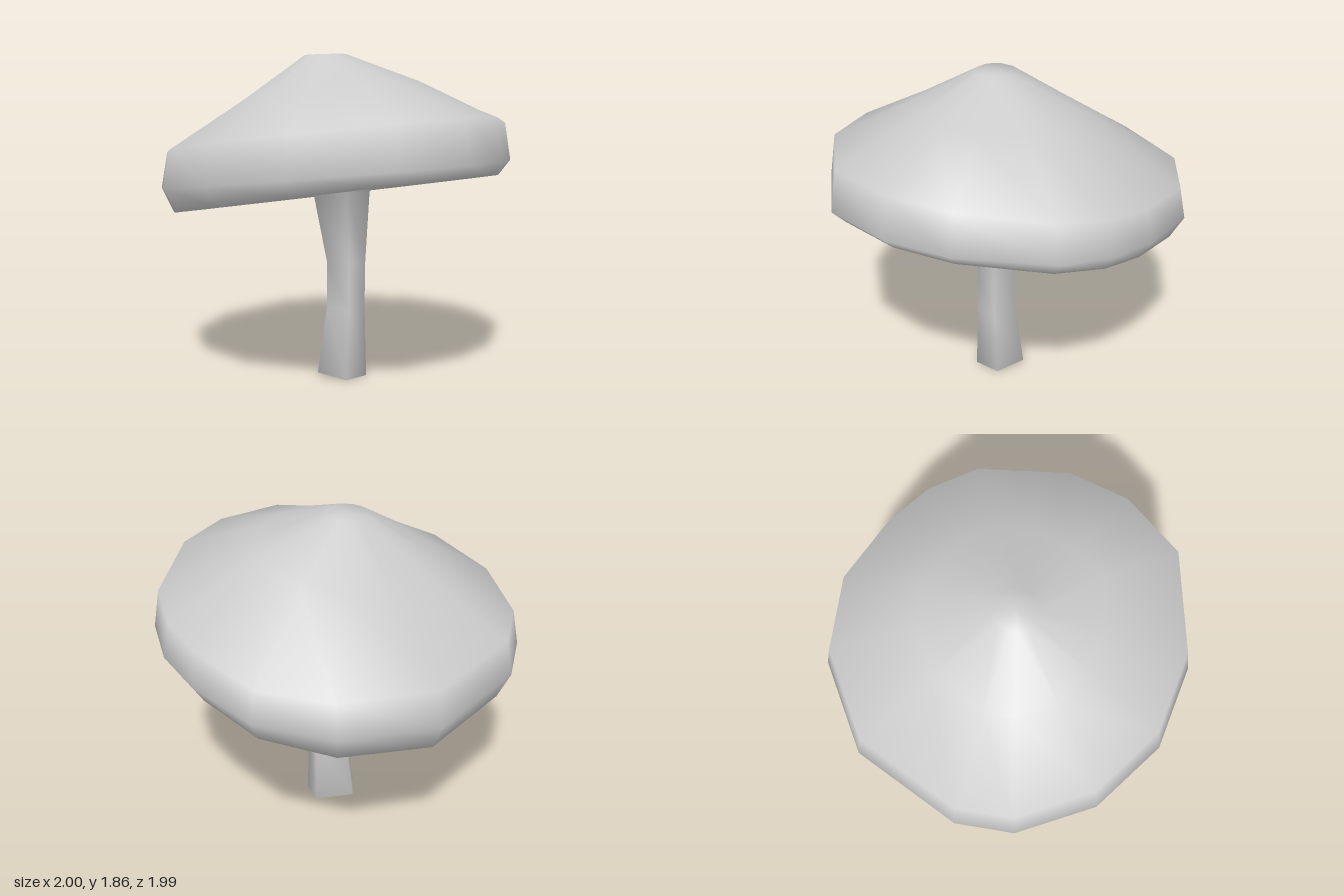
import * as THREE from 'three';

const material = new THREE.MeshStandardMaterial({ color: 0xcccccc });

// Skin a stack of rings (listed from top to bottom) and close both ends.
function loft(name, rings) {
  const n = rings[0].length;
  const centre = (ring) => ring.reduce((s, p) => s.add(p), new THREE.Vector3()).divideScalar(n);
  const points = [...rings.flat(), centre(rings[0]), centre(rings[rings.length - 1])];
  const index = [];
  const last = (rings.length - 1) * n;
  for (let i = 0; i < n; i++) {
    const j = (i + 1) % n;
    for (let r = 0; r < last; r += n) {
      index.push(r + i, r + j, r + n + i, r + j, r + n + j, r + n + i);
    }
    index.push(points.length - 2, j, i, points.length - 1, last + i, last + j);
  }
  const geometry = new THREE.BufferGeometry().setFromPoints(points);
  geometry.setIndex(index);
  geometry.computeVertexNormals();
  const mesh = new THREE.Mesh(geometry, material);
  mesh.name = name;
  return mesh;
}

// Irregular cap outline seen from above: x, z
const outline = [
  [1, 0], [0.935, 0.42], [0.52, 0.83], [0.08, 0.99], [-0.38, 0.94], [-0.77, 0.7], [-0.94, 0.42],
  [-1, -0.24], [-0.74, -0.73], [-0.37, -0.97], [0.05, -1], [0.34, -0.95], [0.61, -0.8], [0.915, -0.36],
];

// Cap rings: outline scale, height, sideways slope, centre x, centre z, lift at the back
const capRings = [
  [0.115, 1.86, 0.04, -0.035, 0.065, 0],
  [0.5, 1.645, 0.13, -0.02, 0.03, 0.12],
  [0.965, 1.4, 0.145, 0, 0, -0.08],
  [1, 1.18, 0.12, 0, 0, 0],
  [0.93, 1.065, 0.175, 0, 0, 0],
  [0.82, 1.075, 0.165, 0, 0, 0], // inner lip
  [0.72, 1.19, 0.14, 0, 0, 0], // hollow underside
  [0.45, 1.25, 0.12, 0, 0, 0],
];

// Five-sided stem section: x, z
const section = [[1, 0.5], [0, 1], [-1, 0], [0, -1], [1, -0.5]];

// Stem rings: left x, right x, half depth, height, sideways slope
const stemRings = [
  [-0.55, 0.5, 0.55, 1.28, 0.12],
  [-0.33, 0.28, 0.33, 1.18, 0.14],
  [-0.19, 0.17, 0.175, 1.06, 0.15],
  [-0.09, 0.165, 0.12, 0.68, 0],
  [-0.09, 0.16, 0.12, 0.42, -0.05],
  [-0.155, 0.155, 0.16, 0.03, -0.19],
];

export function createModel() {
  const group = new THREE.Group();
  group.name = 'mushroom';

  // Tilted cap with a hollow underside
  group.add(loft('cap', capRings.map(([s, y, slope, cx, cz, lift]) =>
    outline.map(([x, z]) => new THREE.Vector3(
      x * s + cx, y + slope * x * s + lift * Math.max(0, -z - 0.6), z * s + cz)))));

  // Bent stem, flaring into the cap
  group.add(loft('stem', stemRings.map(([x0, x1, depth, y, slope]) =>
    section.map(([sx, sz]) => {
      const x = (x0 + x1) / 2 + (x1 - x0) / 2 * sx;
      return new THREE.Vector3(x, y + slope * x, depth * sz);
    }))));

  return group;
}
